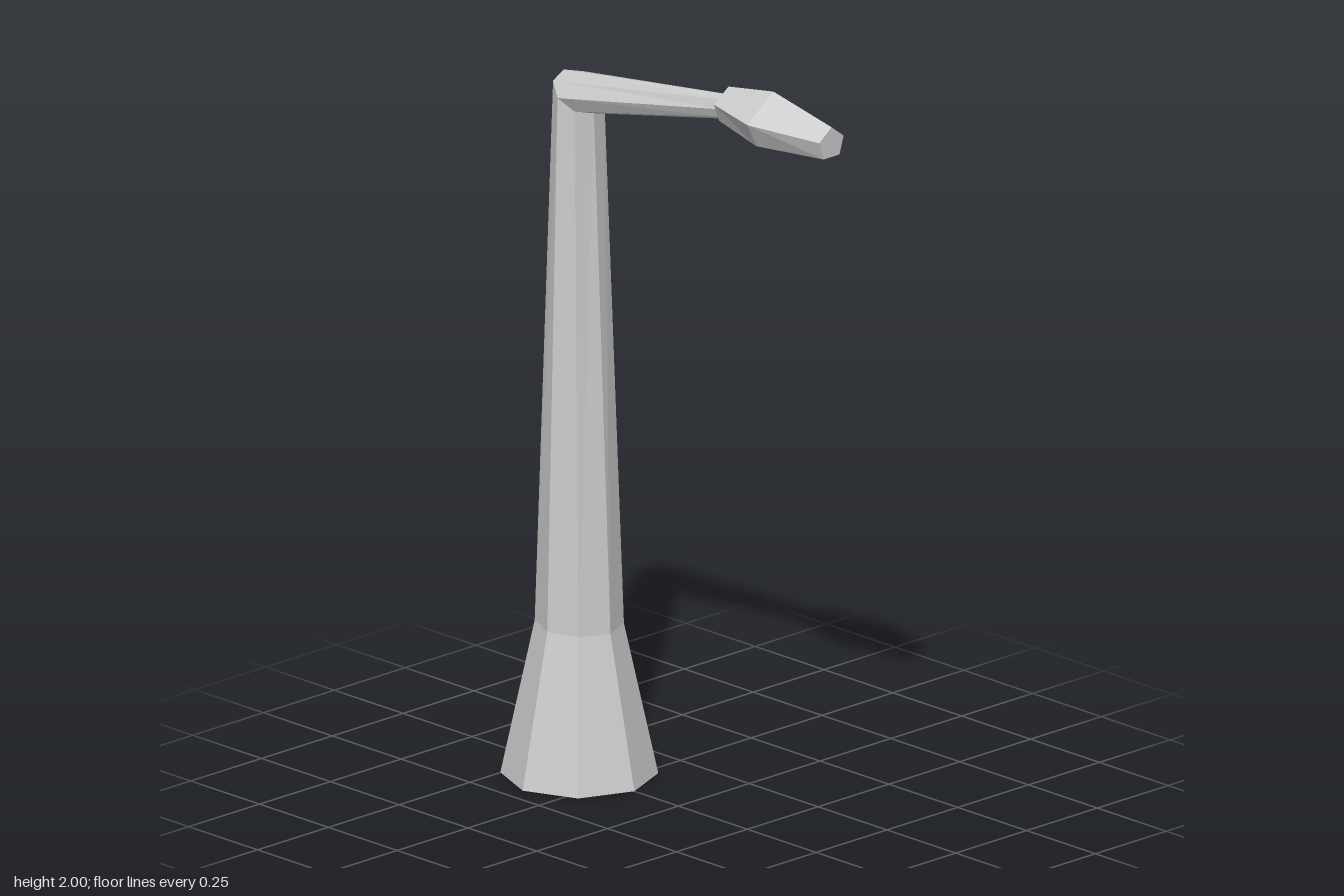
import * as THREE from 'three';

// Skin a list of equal-sized rings of points, optionally closing each end
function loft(name, rings, capStart, capEnd) {
  const n = rings[0].length, last = (rings.length - 1) * n, index = [];
  for (let r = 0; r < rings.length - 1; r++) {
    for (let i = 0; i < n; i++) {
      const a = r * n + i, b = r * n + (i + 1) % n;
      index.push(a, a + n, b, b, a + n, b + n);
    }
  }
  for (let i = 1; i < n - 1; i++) {
    if (capStart) index.push(0, i, i + 1);
    if (capEnd) index.push(last, last + i + 1, last + i);
  }
  const indexed = new THREE.BufferGeometry();
  indexed.setAttribute('position', new THREE.Float32BufferAttribute(rings.flat(2), 3));
  indexed.setIndex(index);
  const geometry = indexed.toNonIndexed();
  geometry.computeVertexNormals();
  const material = new THREE.MeshStandardMaterial({ color: 0xcccccc, flatShading: true });
  const mesh = new THREE.Mesh(geometry, material);
  mesh.name = name;
  return mesh;
}

// Eight-sided ring: rx and drop tilt it in the x-y plane, rz is its half depth
function octagon(x, y, rx, drop, rz) {
  return Array.from({ length: 8 }, (_, i) => {
    const a = (i * Math.PI) / 4;
    return [x + rx * Math.cos(a), y - drop * Math.cos(a), rz * Math.sin(a)];
  });
}

// Five-sided ring with its point upwards
function pentagon(x, yTop, ySide, yBottom, zSide, zBottom) {
  return [
    [x, yTop, 0],
    [x, ySide, -zSide], [x, yBottom, -zBottom],
    [x, yBottom, zBottom], [x, ySide, zSide],
  ];
}

export function createModel() {
  const group = new THREE.Group();
  group.name = 'streetLamp';

  // Mitred ring shared by the pole and the arm
  const elbow = octagon(-0.362, 1.825, 0.055, 0.045, 0.075);

  // Pole with a flared foot
  group.add(loft('pole', [
    octagon(-0.36, 0, 0.2, 0, 0.2),
    octagon(-0.36, 0.405, 0.113, 0.005, 0.113),
    elbow,
  ], true, false));

  // Tapering arm
  group.add(loft('arm', [
    elbow,
    octagon(0.185, 1.92, 0.005, 0.032, 0.031),
  ], false, true));

  // Lamp head, widest in the middle
  group.add(loft('lampHead', [
    pentagon(0.182, 1.973, 1.937, 1.889, 0.052, 0.033),
    pentagon(0.345, 2.0, 1.932, 1.868, 0.092, 0.06),
    pentagon(0.556, 1.957, 1.924, 1.877, 0.043, 0.028),
  ], true, true));

  return group;
}
